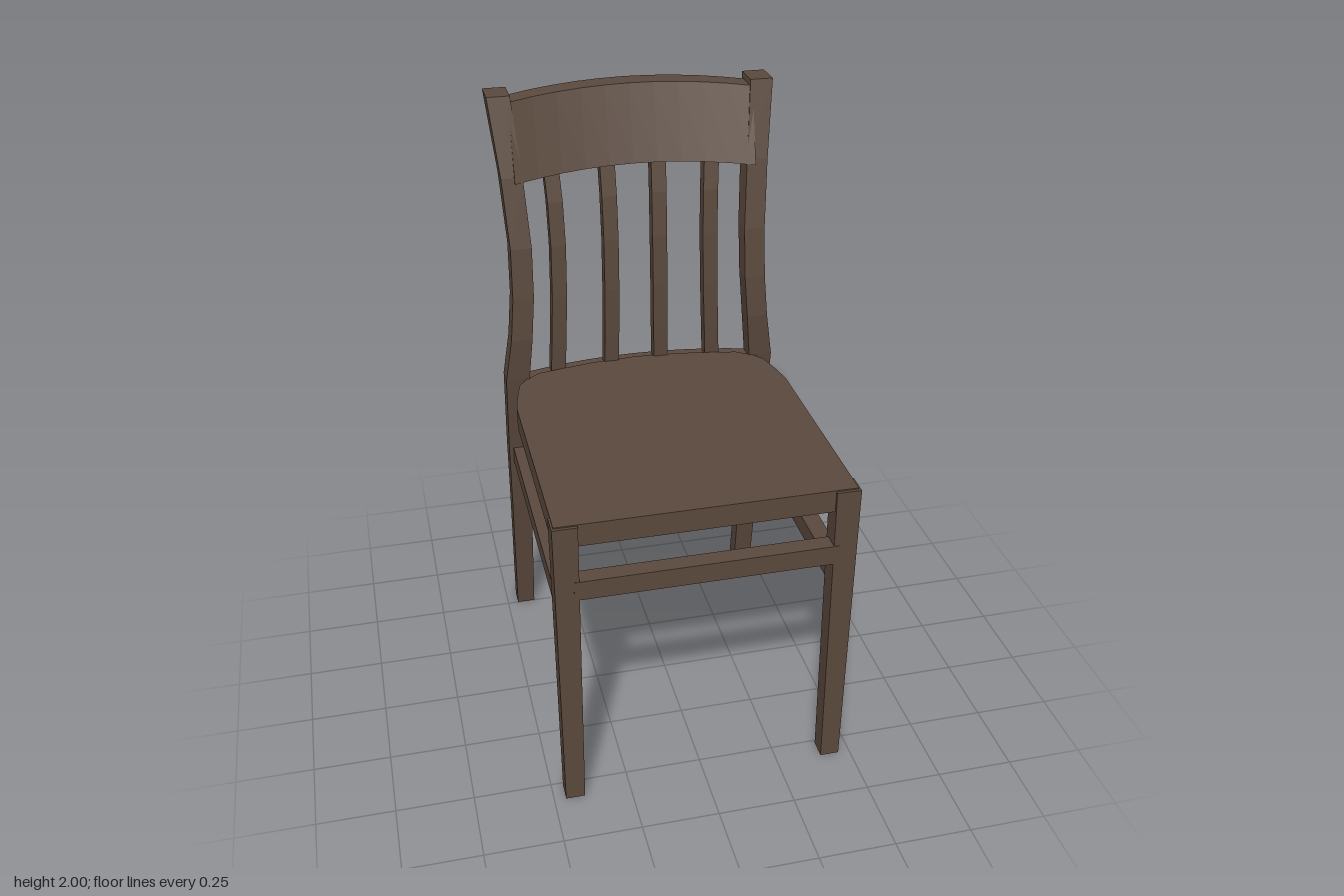
import * as THREE from 'three';

const wood = new THREE.MeshStandardMaterial({ color: 0x5c4a3e, flatShading: true });

// Skin a closed bar through four-cornered rings
function loft(rings) {
  const pos = [];
  const quad = (a, b, c, d) => [a, b, c, a, c, d].forEach((p) => pos.push(...p));
  for (let i = 0; i < rings.length - 1; i++) {
    for (let j = 0; j < 4; j++) {
      const k = (j + 1) % 4;
      quad(rings[i][j], rings[i][k], rings[i + 1][k], rings[i + 1][j]);
    }
  }
  quad(...[...rings[0]].reverse());
  quad(...rings[rings.length - 1]);
  const g = new THREE.BufferGeometry();
  g.setAttribute('position', new THREE.Float32BufferAttribute(pos, 3));
  g.computeVertexNormals();
  return g;
}

// Upright bar from rows [y, x0, x1, zBack, zFront], listed upwards
const upright = (rows) => loft(rows.map(([y, x0, x1, z0, z1]) =>
  [[x0, y, z1], [x1, y, z1], [x1, y, z0], [x0, y, z0]]));

// Same bar on the other side of the chair
const mirrorRows = (rows) => rows.map(([y, x0, x1, z0, z1]) => [y, -x1, -x0, z0, z1]);

// Bowed rail across the chair; section(t) gives four [y, z] corners, t = 0 at centre, 1 at the ends
function bowedRail(halfWidth, section) {
  const rings = [];
  for (let i = -5; i <= 5; i++) {
    const x = (i / 5) * halfWidth;
    rings.push(section((i / 5) ** 2).map(([y, z]) => [x, y, z]));
  }
  return loft(rings);
}

export function createModel() {
  const chair = new THREE.Group();
  chair.name = 'chair';
  const add = (name, geometry) => {
    const mesh = new THREE.Mesh(geometry, wood);
    mesh.name = name;
    chair.add(mesh);
  };
  const box = (name, x0, x1, y0, y1, z0, z1) => {
    const g = new THREE.BoxGeometry(x1 - x0, y1 - y0, z1 - z0);
    g.translate((x0 + x1) / 2, (y0 + y1) / 2, (z0 + z1) / 2);
    add(name, g);
  };

  // Seat slab, narrowing between the back posts
  const half = [[0.463, 0.566], [0.463, -0.15], [0.45, -0.23], [0.43, -0.31],
    [0.405, -0.345], [0.35, -0.385], [0.16, -0.42], [0, -0.432]];
  const outline = [...half, ...half.slice(0, -1).reverse().map(([x, z]) => [-x, z])];
  const seat = new THREE.ExtrudeGeometry(
    new THREE.Shape(outline.map(([x, z]) => new THREE.Vector2(x, -z))),
    { depth: 0.075, bevelEnabled: false });
  seat.rotateX(-Math.PI / 2);
  seat.translate(0, 0.97, 0);
  add('seat', seat);

  // Legs, back posts and side stretchers, mirrored left and right
  const frontLeg = [[0, 0.4, 0.462, 0.512, 0.573], [1.041, 0.392, 0.469, 0.505, 0.576]];
  const backPost = [
    [0, 0.4, 0.463, -0.562, -0.5],
    [0.5, 0.397, 0.467, -0.49, -0.427],
    [0.75, 0.395, 0.47, -0.458, -0.393],
    [1.045, 0.39, 0.47, -0.42, -0.35],
    [1.2, 0.375, 0.446, -0.41, -0.337],
    [1.35, 0.363, 0.433, -0.411, -0.339],
    [1.52, 0.36, 0.43, -0.427, -0.352],
    [1.75, 0.373, 0.443, -0.471, -0.389],
    [2, 0.393, 0.468, -0.545, -0.443],
  ];
  for (const [side, place] of [['left', (r) => r], ['right', mirrorRows]]) {
    add(side + 'FrontLeg', upright(place(frontLeg)));
    add(side + 'BackPost', upright(place(backPost)));
    add(side + 'Stretcher', upright(place(
      [[0.692, 0.398, 0.455, -0.42, 0.53], [0.755, 0.398, 0.455, -0.42, 0.53]])));
  }
  box('frontStretcher', -0.41, 0.41, 0.785, 0.85, 0.52, 0.577);

  // Bowed rail behind the seat
  add('backRail', bowedRail(0.41, (t) => {
    const z = 0.06 * t;
    return [[0.963, z - 0.475], [1.036, z - 0.475], [1.036, z - 0.41], [0.963, z - 0.41]];
  }));

  // Bowed and leaning top rail
  add('topRail', bowedRail(0.4, (t) => {
    const z = 0.055 * t;
    const drop = 0.02 * t;
    return [[1.752 - drop, z - 0.505], [2 - drop, z - 0.577],
      [2 - drop, z - 0.497], [1.752 - drop, z - 0.432]];
  }));

  // Curved slats: rows of height, sideways sweep and back face
  const curve = [[1, 0.011, -0.466], [1.15, 0.004, -0.458], [1.32, -0.003, -0.452],
    [1.5, -0.006, -0.455], [1.65, -0.003, -0.467], [1.78, 0.004, -0.488]];
  for (const x of [-0.272, -0.087, 0.083, 0.258]) {
    const outer = Math.abs(x) > 0.2;
    const sweep = Math.sign(x) * (outer ? 1 : 0.3);
    add('slat', upright(curve.map(([y, s, z]) => {
      const cx = x + s * sweep;
      const zb = z + (outer ? 0.015 : 0);
      return [y, cx - 0.025, cx + 0.025, zb, zb + 0.046];
    })));
  }
  return chair;
}
